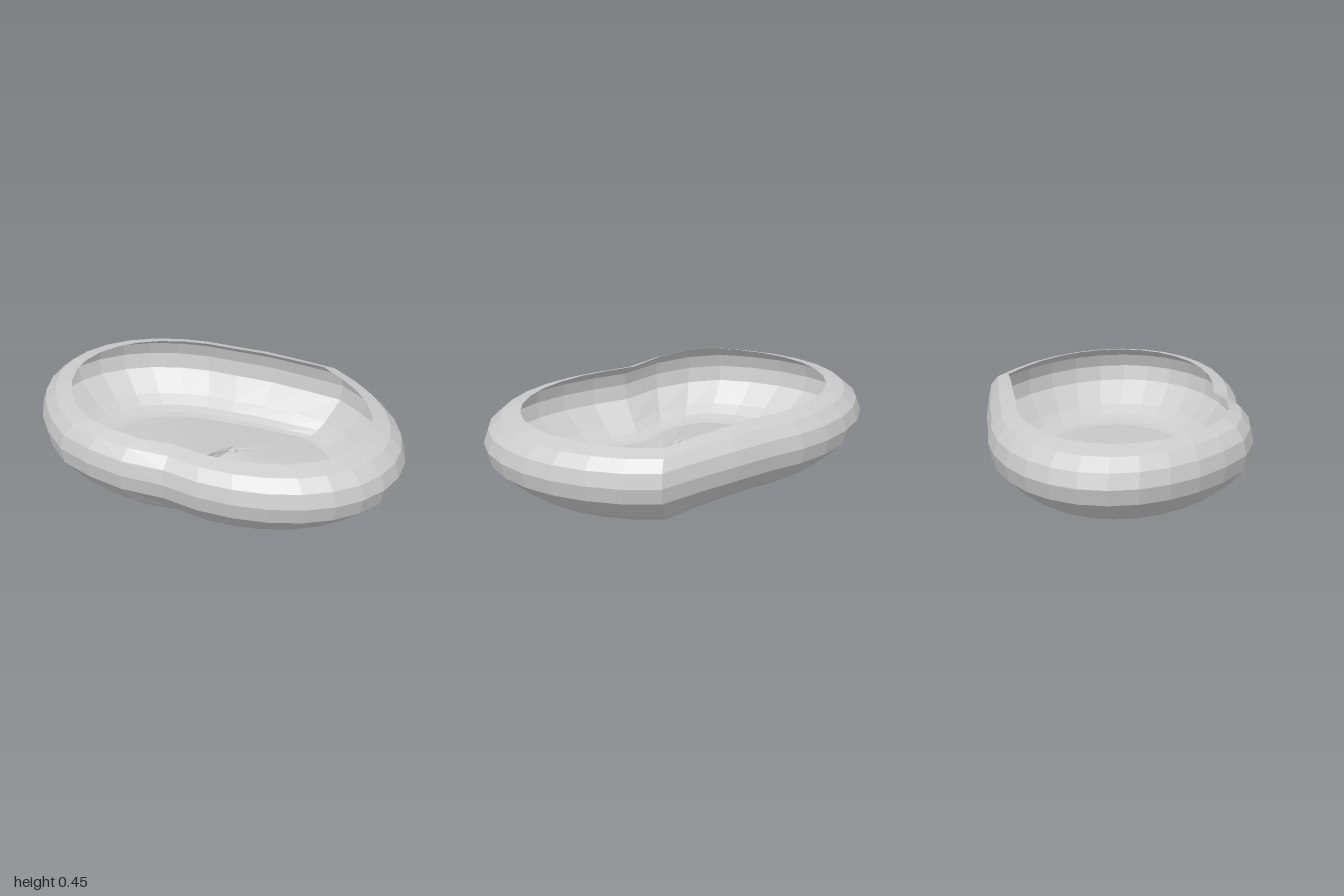
import * as THREE from 'three';

const SEGMENTS = 32;
const HALF_WIDTH = 0.714; // width of the oval relative to its length

// Sideways shift and lift of the spokes, from the front half across the waist to the back half
const WAIST = [[0.07, 0], [0.07, 0.005], [-0.015, 0.021], [-0.07, 0.032], [-0.11, 0.036]];

export function createModel() {
  const group = new THREE.Group();
  group.name = 'shearedBowl';

  // Thin shell profile: raised floor centre with a small nub, rounded wall, in-curled rim
  const profile = [
    [0, 0.092], [0.035, 0.09], [0.04, 0.078], [0.28, 0.047], [0.67, 0],
    [0.72, 0.006], [0.78, 0.025], [0.85, 0.067], [0.98, 0.177],
    [1, 0.26], [0.975, 0.333], [0.91, 0.388], [0.81, 0.413],
  ].map(([r, y]) => new THREE.Vector2(r, y));

  const geometry = new THREE.LatheGeometry(profile, SEGMENTS);
  const pos = geometry.attributes.position;

  // Squash to an oval, then slide and lift the back half against the front half
  for (let v = 0; v < pos.count; v++) {
    const spoke = Math.floor(v / profile.length);
    const step = SEGMENTS / 4 - Math.min(spoke, SEGMENTS - spoke);
    const [shift, lift] = WAIST[THREE.MathUtils.clamp(2 - step, 0, 4)];
    pos.setX(v, pos.getX(v) * HALF_WIDTH + shift);
    pos.setY(v, pos.getY(v) + lift);
  }
  geometry.computeVertexNormals();

  const material = new THREE.MeshStandardMaterial({
    color: 0xcccccc, flatShading: true, side: THREE.DoubleSide,
  });
  const bowl = new THREE.Mesh(geometry, material);
  bowl.name = 'bowlShell';
  group.add(bowl);
  return group;
}
